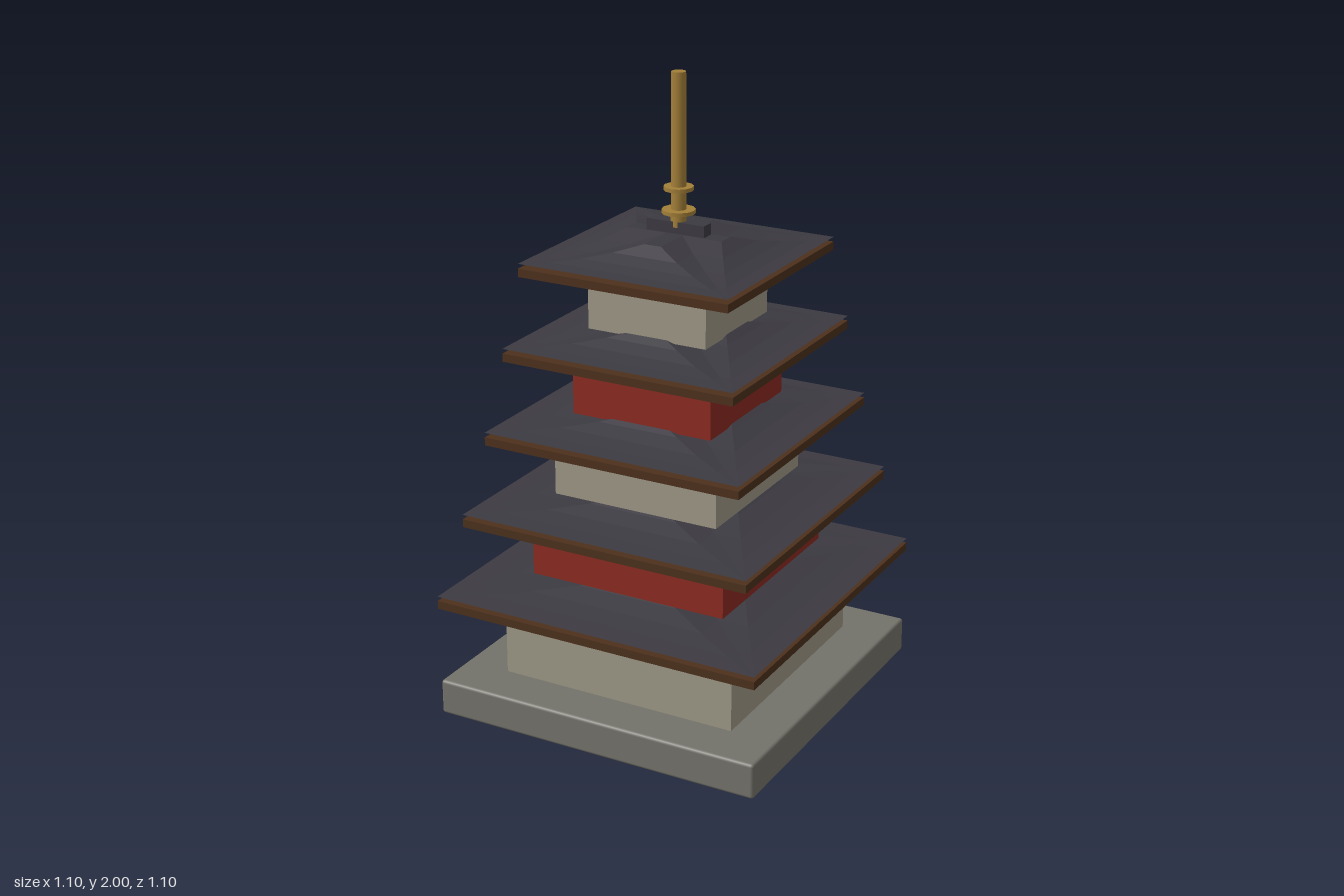
import * as THREE from 'three';
import { RoundedBoxGeometry } from 'three/addons/geometries/RoundedBoxGeometry.js';

const mat = (name, color, extra = {}) => Object.assign(new THREE.MeshStandardMaterial({ color, ...extra }), { name });

function add(parent, name, geometry, material, y = 0) {
  const mesh = new THREE.Mesh(geometry, material);
  mesh.name = name;
  mesh.position.y = y;
  parent.add(mesh);
  return mesh;
}

// Box standing on y0, square in plan
function block(parent, name, half, y0, y1, material) {
  return add(parent, name, new THREE.BoxGeometry(half * 2, y1 - y0, half * 2), material, (y0 + y1) / 2);
}

// Concave hipped roof: square eave of half-width r rising to a narrow flat ridge along x
function hipGeometry(r, height, steps = 4) {
  const corners = [[1, 1], [1, -1], [-1, -1], [-1, 1]];
  const ridgeX = r * 0.457, ridgeZ = r * 0.08;
  const positions = [], index = [];
  for (let i = 0; i <= steps; i++) {
    const t = i / steps;
    const hx = THREE.MathUtils.lerp(r, ridgeX, t);
    const hz = THREE.MathUtils.lerp(r, ridgeZ, t);
    for (const [sx, sz] of corners) positions.push(sx * hx, height * t * t, sz * hz);
  }
  for (let i = 0; i < steps; i++) {
    for (let k = 0; k < 4; k++) {
      const a = i * 4 + k, b = i * 4 + (k + 1) % 4;
      index.push(a, b, b + 4, a, b + 4, a + 4);
    }
  }
  const top = steps * 4;
  index.push(top, top + 1, top + 2, top, top + 2, top + 3);
  const g = new THREE.BufferGeometry();
  g.setAttribute('position', new THREE.Float32BufferAttribute(positions, 3));
  g.setIndex(index);
  const flat = g.toNonIndexed();
  flat.computeVertexNormals();
  return flat;
}

export function createModel() {
  const stone = mat('stone grey', 0x73726a);
  const plaster = mat('plaster', 0x9c9685);
  const red = mat('red lacquer', 0x8a2a21);
  const wood = mat('dark wood', 0x4c301c);
  const tile = mat('roof tile', 0x3c3a41, { side: THREE.DoubleSide });
  const gold = mat('gold', 0xa37f38);

  const model = new THREE.Group();
  model.name = 'pagoda';

  // Stone base
  add(model, 'base', new RoundedBoxGeometry(1.096, 0.115, 1.096, 2, 0.01), stone, 0.0575);

  // Storeys: wall half-width, wall bottom, wall top, eave half-width
  const storeys = [
    [0.397, 0.115, 0.363, 0.548],
    [0.332, 0.444, 0.628, 0.486],
    [0.279, 0.705, 0.889, 0.432],
    [0.236, 0.964, 1.152, 0.388],
    [0.2, 1.232, 1.413, 0.35],
  ];
  storeys.forEach(([wall, y0, y1, eave], i) => {
    const storey = new THREE.Group();
    storey.name = `storey${i + 1}`;
    model.add(storey);
    block(storey, 'walls', wall, y0, y1, i % 2 ? red : plaster);
    block(storey, 'eavePlate', eave, y1, y1 + 0.026, wood);
    // Two crossed hips
    const hip = hipGeometry(eave, 0.057);
    add(storey, 'roofAcross', hip, tile, y1 + 0.041);
    add(storey, 'roofAlong', hip, tile, y1 + 0.041).rotation.y = Math.PI / 2;
  });

  // Ridge cap and spire
  add(model, 'ridgeCap', new THREE.BoxGeometry(0.196, 0.042, 0.044), tile, 1.526);
  add(model, 'spire', new THREE.CylinderGeometry(0.022, 0.024, 0.47, 12), gold, 1.765);
  for (const [r, y] of [[0.052, 1.577], [0.046, 1.648]]) {
    add(model, 'spireRing', new THREE.CylinderGeometry(r, r, 0.012, 12), gold, y);
  }
  return model;
}
